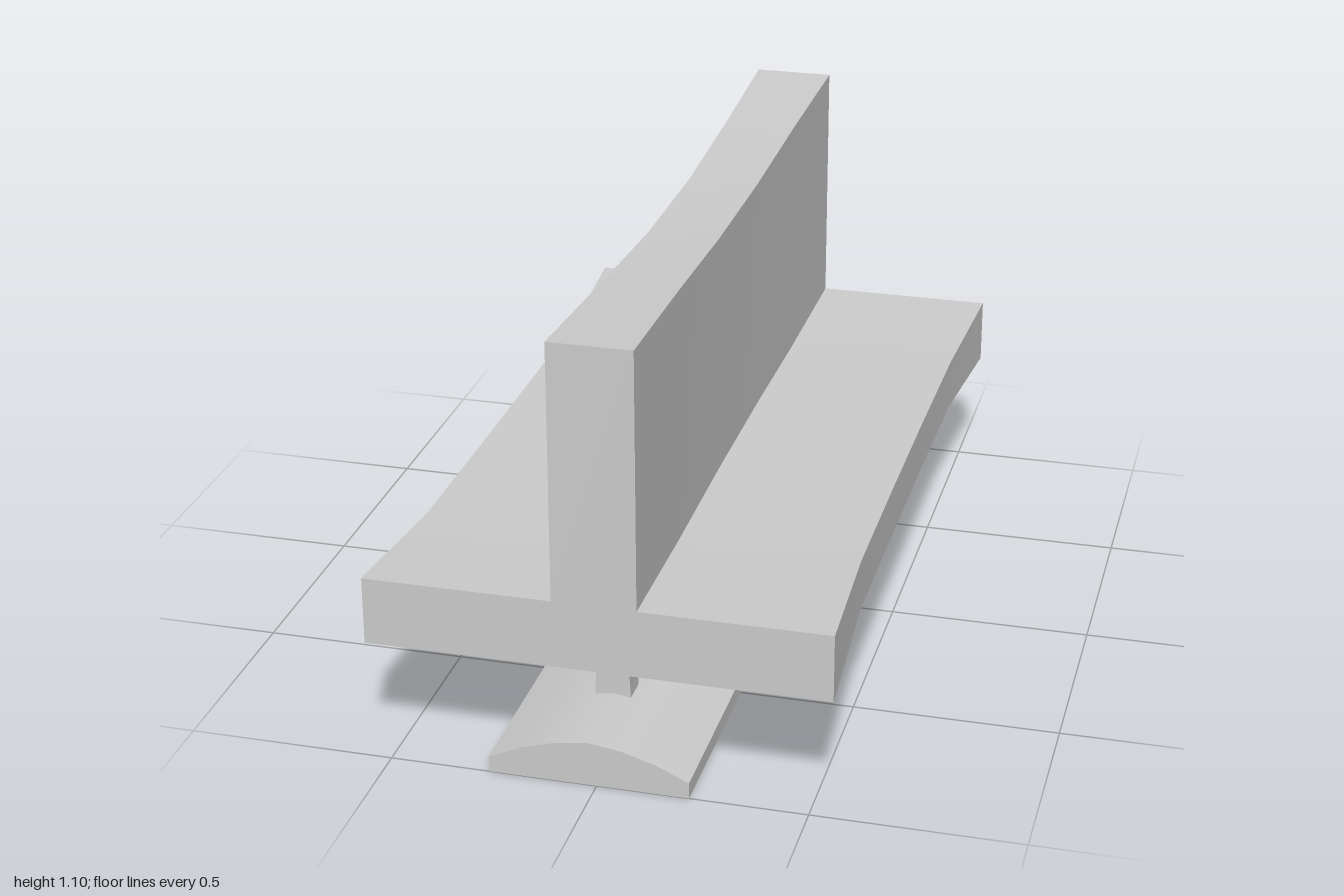
import * as THREE from 'three';
import { toCreasedNormals } from 'three/addons/utils/BufferGeometryUtils.js';

const material = new THREE.MeshStandardMaterial({ color: 0xcccccc });

function addMesh(parent, name, geometry) {
  const mesh = new THREE.Mesh(toCreasedNormals(geometry, 0.6), material);
  mesh.name = name;
  parent.add(mesh);
  return mesh;
}

// Moves every vertex of a unit-coordinate box by a rule
function reshape(geometry, rule) {
  const p = geometry.attributes.position;
  for (let i = 0; i < p.count; i++) p.setXYZ(i, ...rule(p.getX(i), p.getY(i), p.getZ(i)));
  return geometry;
}

// Beam along z: stations at |z| = 0.2, 0.6, 1 give [half width, bottom, top]
function beam(stations) {
  return reshape(new THREE.BoxGeometry(2, 2, 2, 1, 1, 5), (x, y, z) => {
    const [half, bottom, top] = stations[Math.round((Math.abs(z) - 0.2) / 0.4)];
    return [x * half, y > 0 ? top : bottom, z];
  });
}

// Square post with a narrow waist: rows from bottom to top give [y, half x, half z]
function post() {
  const rows = [[0.09, 0.045, 0.034], [0.175, 0.04, 0.033], [0.325, 0.049, 0.041]];
  return reshape(new THREE.BoxGeometry(2, 2, 2, 1, 2, 1), (x, y, z) => {
    const [height, halfX, halfZ] = rows[Math.round(y) + 1];
    return [x * halfX, height, z * halfZ];
  });
}

export function createModel() {
  const group = new THREE.Group();
  group.name = 'bench';

  // Double-sided seat and shared upright back, both dipping towards the middle
  addMesh(group, 'seat', beam([[0.528, 0.32, 0.45], [0.53, 0.32, 0.45], [0.552, 0.3, 0.467]]));
  addMesh(group, 'backrest', beam([[0.088, 0.45, 1.06], [0.092, 0.45, 1.08], [0.1, 0.467, 1.1]]));

  // Arched base running the full length
  const profile = new THREE.Shape([
    [-0.24, 0], [0.24, 0], [0.24, 0.04], [0.16, 0.076], [0.08, 0.1],
    [0, 0.111], [-0.08, 0.1], [-0.16, 0.076], [-0.24, 0.04],
  ].map(([x, y]) => new THREE.Vector2(x, y)));
  const base = new THREE.ExtrudeGeometry(profile, { depth: 1.99, bevelEnabled: false });
  addMesh(group, 'base', base).position.set(-0.02, 0, -0.99);

  // Row of posts between base and seat
  const posts = new THREE.Group();
  posts.name = 'posts';
  group.add(posts);
  for (const z of [0.733, 0.267, -0.227, -0.773]) {
    addMesh(posts, 'post', post()).position.set(-0.026, 0, z);
  }

  return group;
}
